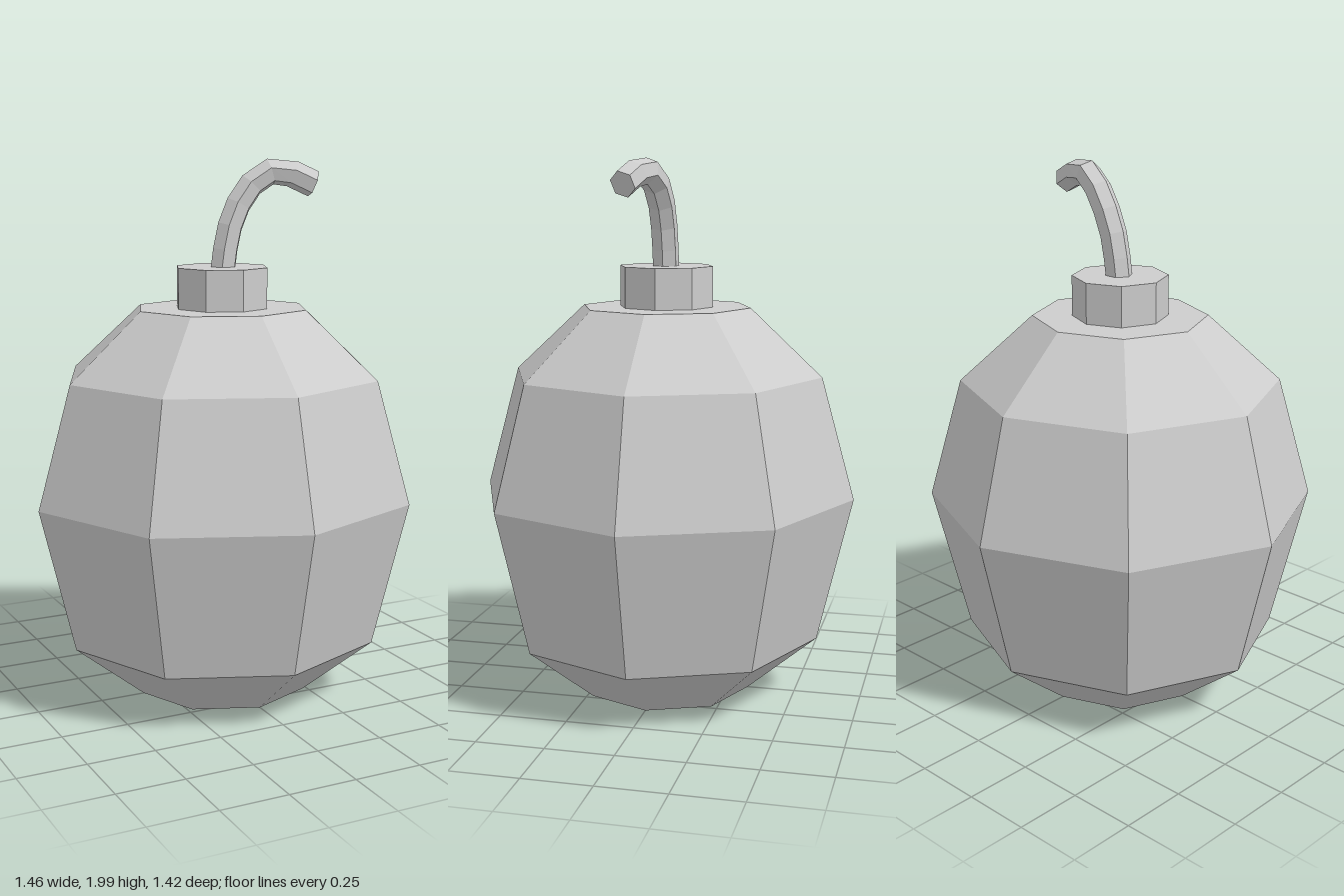
import * as THREE from 'three';

const SIDES = 8;

// Faceted hexagonal tube along a curve, closed at the tip
function sweptHexagon(curve, radius, steps) {
  const frames = curve.computeFrenetFrames(steps, false);
  const positions = [], index = [], n = 6;
  for (let i = 0; i <= steps; i++) {
    const centre = curve.getPointAt(i / steps);
    for (let j = 0; j < n; j++) {
      const a = ((j + 0.5) / n) * Math.PI * 2;
      const p = centre.clone()
        .addScaledVector(frames.normals[i], Math.cos(a) * radius)
        .addScaledVector(frames.binormals[i], Math.sin(a) * radius);
      positions.push(p.x, p.y, p.z);
    }
  }
  for (let i = 0; i < steps; i++) {
    for (let j = 0; j < n; j++) {
      const k = (j + 1) % n;
      const a = i * n + j, b = i * n + k, c = b + n, d = a + n;
      index.push(a, b, c, a, c, d);
    }
  }
  const tip = steps * n;
  for (let j = 1; j < n - 1; j++) index.push(tip, tip + j, tip + j + 1);
  const geometry = new THREE.BufferGeometry();
  geometry.setAttribute('position', new THREE.Float32BufferAttribute(positions, 3));
  geometry.setIndex(index);
  const flat = geometry.toNonIndexed();
  flat.computeVertexNormals();
  return flat;
}

export function createModel() {
  const group = new THREE.Group();
  group.name = 'bomb';
  const grey = new THREE.MeshStandardMaterial({ color: 0xcccccc, flatShading: true });
  grey.name = 'light grey';

  const add = (name, geometry) => {
    const mesh = new THREE.Mesh(geometry, grey);
    mesh.name = name;
    group.add(mesh);
    return mesh;
  };

  // Round body as an eight-sided lathe, slightly narrower front to back
  const profile = [
    [0, 0], [0.33, 0], [0.598, 0.215], [0.73, 0.757],
    [0.602, 1.207], [0.327, 1.455], [0, 1.455],
  ].map(([r, y]) => new THREE.Vector2(r, y));
  const body = add('body', new THREE.LatheGeometry(profile, SIDES));
  body.scale.z = 0.972;

  // Collar that holds the fuse
  const collar = add('collar', new THREE.CylinderGeometry(0.176, 0.176, 0.16, SIDES));
  collar.position.y = 1.525;

  // Bent fuse, leaning to the left and a little forward at the tip
  const path = new THREE.CatmullRomCurve3([
    [0.003, 1.58, 0], [0.03, 1.74, 0], [0.085, 1.86, 0.003],
    [0.15, 1.93, 0.015], [0.22, 1.953, 0.035], [0.343, 1.903, 0.072],
  ].map((p) => new THREE.Vector3(...p)));
  add('fuse', sweptHexagon(path, 0.05, 7));

  return group;
}
